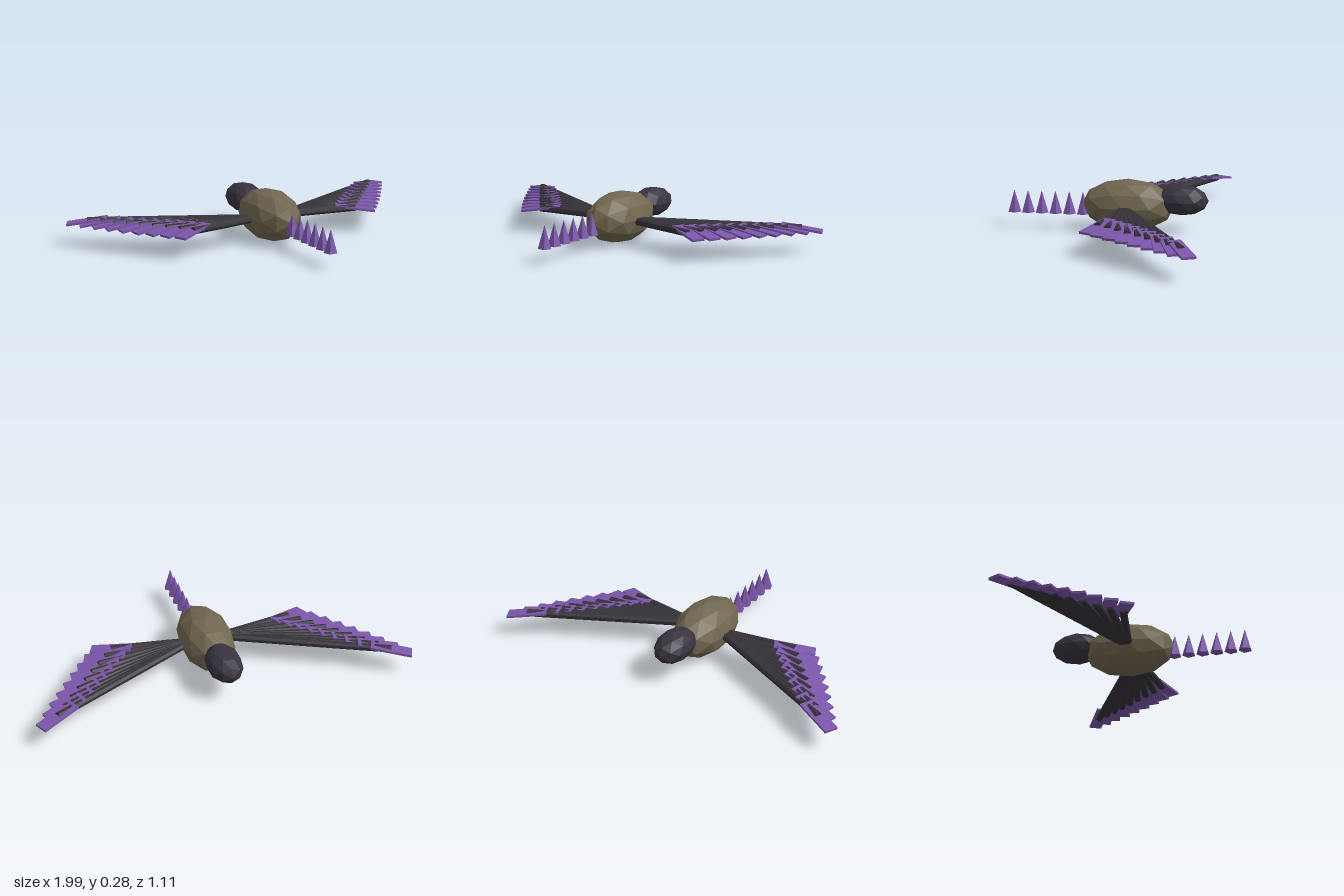
import * as THREE from 'three';

const flat = (name, color) => {
  const m = new THREE.MeshStandardMaterial({ color, flatShading: true });
  m.name = name;
  return m;
};

export function createModel() {
  const olive = flat('olive', 0x70674f);
  const charcoal = flat('charcoal', 0x38333f);
  const quill = flat('dark quill', 0x353138);
  const purple = flat('purple', 0x7c56ab);
  const model = new THREE.Group();
  model.name = 'bird';

  const add = (parent, name, geometry, material) => {
    const mesh = new THREE.Mesh(geometry, material);
    mesh.name = name;
    parent.add(mesh);
    return mesh;
  };

  // Faceted ellipsoids for body and head
  const ellipsoid = (name, material, radii, position) => {
    const mesh = add(model, name, new THREE.IcosahedronGeometry(1, 1).scale(...radii), material);
    mesh.position.set(...position);
  };
  ellipsoid('body', olive, [0.14, 0.14, 0.245], [0, 0.14, -0.09]);
  ellipsoid('head', charcoal, [0.093, 0.081, 0.14], [0, 0.175, -0.375]);

  // Row of five-sided tail spikes
  const spike = new THREE.ConeGeometry(0.036, 0.12, 5).rotateY(Math.PI);
  for (let i = 0; i < 6; i++) {
    add(model, 'tailSpike', spike, purple).position.set(0, 0.142, 0.152 + i * 0.0745);
  }

  // Wings: quills fan out from the shoulder, each ending in a tilted vane
  const up = new THREE.Vector3(0, 1, 0);
  const vane = new THREE.BoxGeometry(0.215, 0.012, 0.07);
  const count = 9;
  const wingY = 0.132;
  for (const side of [1, -1]) {
    const wing = new THREE.Group();
    wing.name = side > 0 ? 'leftWing' : 'rightWing';
    model.add(wing);
    const root = new THREE.Vector3(side * 0.07, wingY, -0.08);
    for (let i = 0; i < count; i++) {
      const t = i / (count - 1);
      const tip = new THREE.Vector3(
        side * THREE.MathUtils.lerp(0.885, 0.492, t), wingY, THREE.MathUtils.lerp(-0.477, -0.015, t));
      const along = tip.clone().sub(root);
      const length = along.length();
      const rod = add(wing, 'quill', new THREE.CylinderGeometry(0.02, 0.02, length, 8), quill);
      rod.position.copy(root).addScaledVector(along, 0.5);
      rod.quaternion.setFromUnitVectors(up, along.normalize());

      const yaw = THREE.MathUtils.lerp(-0.46, 0.44, t);
      const feather = add(wing, 'featherVane', vane, purple);
      feather.position.copy(tip);
      feather.rotation.set(0, side > 0 ? -yaw : Math.PI + yaw, -0.14);
    }
  }
  return model;
}
